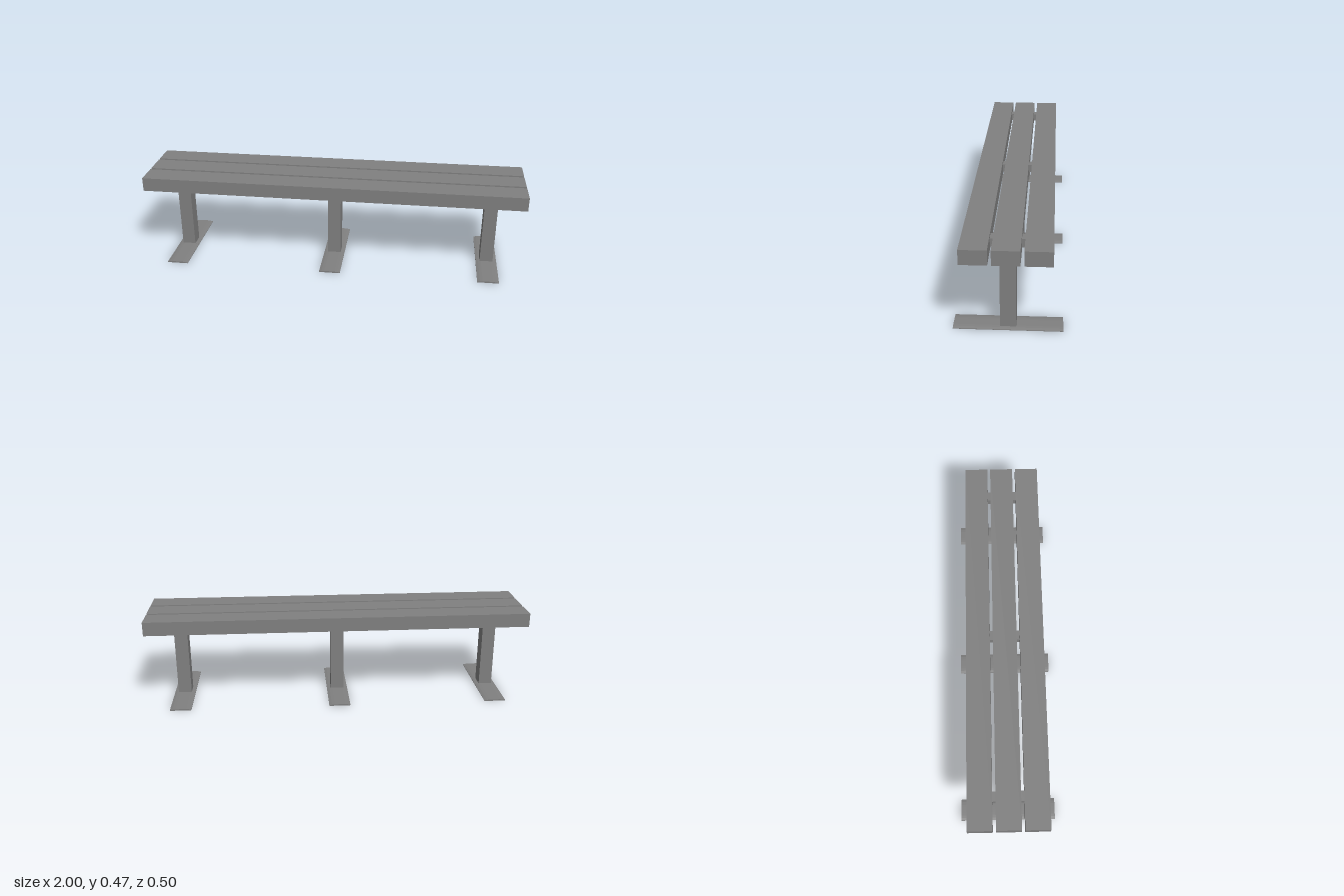
import * as THREE from 'three';

const material = new THREE.MeshStandardMaterial({ color: 0x808080, flatShading: true, side: THREE.DoubleSide });

function add(parent, name, geometry, x = 0, y = 0, z = 0) {
  const mesh = new THREE.Mesh(geometry, material);
  mesh.name = name;
  mesh.position.set(x, y, z);
  parent.add(mesh);
}

// Extrudes a closed outline of [x, y] points, centred along its depth
function extrude(points, depth) {
  const shape = new THREE.Shape(points.map(([x, y]) => new THREE.Vector2(x, y)));
  const geometry = new THREE.ExtrudeGeometry(shape, { depth, bevelEnabled: false });
  return geometry.translate(0, 0, -depth / 2);
}

export function createModel() {
  const bench = new THREE.Group();
  bench.name = 'bench';

  const postW = 0.07, postD = 0.074, postBottom = 0.006;
  const railBottom = 0.366, seatBottom = 0.4;
  const footW = 0.112, footL = 0.504;

  // Three seat planks with narrow gaps
  for (const z of [-0.14, 0, 0.14]) {
    add(bench, 'seatPlank', new THREE.BoxGeometry(2, 0.072, 0.124), 0, seatBottom + 0.036, z);
  }

  // Rail across the post tops, flaring towards the planks
  const rail = extrude([[-0.037, railBottom], [0.037, railBottom], [0.045, seatBottom], [-0.045, seatBottom]], 1.74);
  rail.rotateY(Math.PI / 2);
  add(bench, 'underRail', rail);

  // Slightly crowned cross-section of the foot plate between two x positions
  const crown = (x) => 0.008 - 0.005 * (2 * x / footW) ** 4;
  const section = (from, to) => {
    const points = [[to, 0], [from, 0]];
    for (let i = 0; i <= 8; i++) {
      const x = from + (to - from) * i / 8;
      points.push([x, crown(x)]);
    }
    return points;
  };
  const endLength = (footL - postD) / 2;

  for (const x of [-0.835, 0, 0.835]) {
    const support = new THREE.Group();
    support.name = 'support';
    support.position.x = x;
    bench.add(support);

    // Hollow square post
    const post = new THREE.CylinderGeometry(Math.SQRT1_2, Math.SQRT1_2, 1, 4, 1, true);
    post.rotateY(Math.PI / 4).scale(postW, railBottom - postBottom, postD);
    add(support, 'post', post, 0, (railBottom + postBottom) / 2, 0);

    for (const side of [-1, 1]) {
      // Foot plate around the open bottom of the post
      add(support, 'footEnd', extrude(section(-footW / 2, footW / 2), endLength),
        0, 0, side * (postD + endLength) / 2);
      const edge = side < 0 ? section(-footW / 2, -postW / 2) : section(postW / 2, footW / 2);
      add(support, 'footEdge', extrude(edge, postD));

      // Spacer joining neighbouring planks
      add(support, 'plankSpacer', new THREE.BoxGeometry(0.05, 0.04, 0.018), 0, 0.435, side * 0.07);
    }
  }
  return bench;
}
